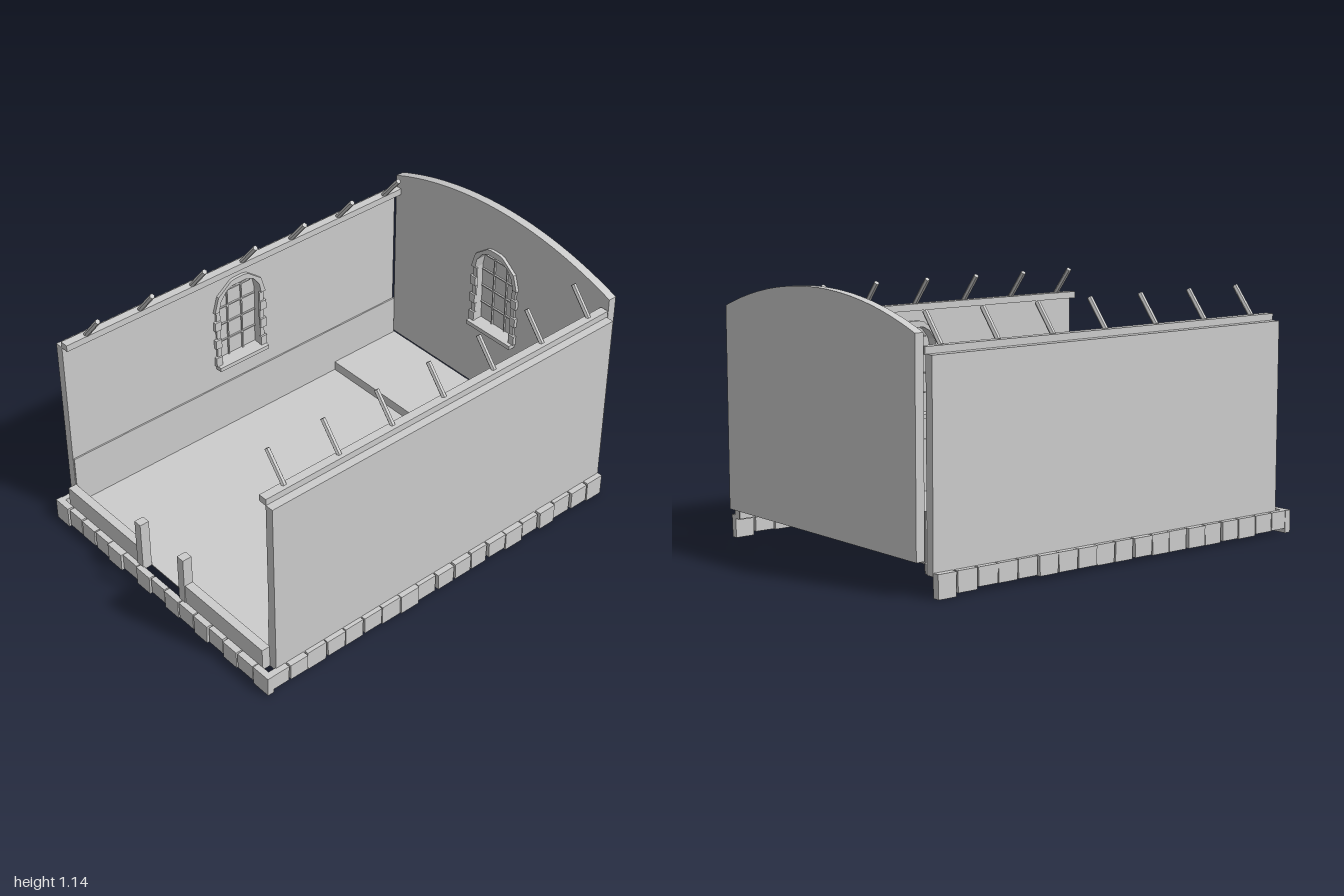
import * as THREE from 'three';

const stone = new THREE.MeshStandardMaterial({ color: 0xcccccc, side: THREE.DoubleSide });
stone.name = 'pale grey stone';

let seed = 7;
const rnd = () => (seed = (seed * 16807) % 2147483647) / 2147483647;

function add(parent, name, geo) {
  const mesh = new THREE.Mesh(geo, stone);
  mesh.name = name;
  parent.add(mesh);
  return mesh;
}

// Box given by its minimum and maximum on each axis
function box(parent, name, x0, x1, y0, y1, z0, z1) {
  const mesh = add(parent, name, new THREE.BoxGeometry(x1 - x0, y1 - y0, z1 - z0));
  mesh.position.set((x0 + x1) / 2, (y0 + y1) / 2, (z0 + z1) / 2);
  return mesh;
}

const mirrored = (half) => [...half, ...half.slice().reverse().map(([x, y]) => [-x, y])];
const toPath = (pts, dx = 0, dy = 0) => pts.map(([x, y]) => new THREE.Vector2(x + dx, y + dy));

// Window outlines, measured from the bottom of the sill
const archIn = mirrored([[0.12, 0.31], [0.11, 0.36], [0.078, 0.403], [0.045, 0.42]]);
const archOut = mirrored([[0.145, 0.31], [0.122, 0.388], [0.048, 0.445], [0.025, 0.45]]);
const opening = [[0.115, 0.02], ...archIn, [-0.115, 0.02]];

function extrude(shape, depth, z) {
  const geo = new THREE.ExtrudeGeometry(shape, { depth, bevelEnabled: false, curveSegments: 24 });
  return geo.translate(0, 0, z);
}

// Wall 0.04 thick with its inner face on local z = 0 and one arched window
function windowWall(name, shape, wx, wy) {
  const g = new THREE.Group();
  g.name = name;
  shape.holes.push(new THREE.Path(toPath(opening, wx, wy)));
  add(g, 'wallPanel', extrude(shape, 0.04, -0.04));

  const win = new THREE.Group();
  win.name = 'window';
  win.position.set(wx, wy, 0);
  g.add(win);
  add(win, 'windowPane', extrude(new THREE.Shape(toPath(opening)), 0.004, -0.04));
  box(win, 'windowSill', -0.14, 0.14, 0, 0.02, -0.01, 0.035);

  // Arched surround
  const arch = new THREE.Shape(toPath([...archOut, ...archIn.slice().reverse()]));
  add(win, 'windowArch', extrude(arch, 0.015, 0));

  // Alternating jamb stones
  for (const s of [-1, 1]) {
    for (let i = 0; i < 6; i++) {
      const wide = i % 2 === 0;
      const w = wide ? 0.033 : 0.022;
      const m = box(win, 'jambStone', -w / 2, w / 2, 0.02 + i * 0.0483, 0.066 + i * 0.0483, 0, wide ? 0.016 : 0.01);
      m.position.x = s * (0.113 + w / 2);
    }
  }

  // Glazing bars
  for (const x of [-0.04, 0.04]) box(win, 'glazingBar', x - 0.003, x + 0.003, 0.02, 0.418, -0.036, -0.028);
  for (const y of [0.11, 0.2, 0.29]) box(win, 'glazingBar', -0.115, 0.115, y - 0.003, y + 0.003, -0.036, -0.028);
  box(win, 'glazingBar', -0.092, 0.092, 0.369, 0.375, -0.036, -0.028);
  return g;
}

// Row of uneven foundation stones; place(stone, distance along the row) positions each
function stoneRow(parent, from, to, count, place) {
  const step = (to - from) / count;
  for (let i = 0; i < count; i++) {
    const bottom = i === 0 ? 0 : 0.008 + rnd() * 0.018;
    const w = step * (0.88 + rnd() * 0.1);
    const depth = 0.022 + rnd() * 0.012;
    const geo = new THREE.BoxGeometry(w, 0.1 - bottom, depth);
    geo.translate(0, (0.1 + bottom) / 2, depth / 2);
    // taper the lower corners a little
    const p = geo.attributes.position;
    const k = 0.92 + rnd() * 0.08;
    for (let v = 0; v < p.count; v++) if (p.getY(v) < 0.05) p.setX(v, p.getX(v) * k);
    geo.computeVertexNormals();
    place(add(parent, 'foundationStone', geo), from + step * (i + 0.5));
  }
}

export function createModel() {
  const model = new THREE.Group();
  model.name = 'openChapel';

  // Floor, raised platform and its riser
  box(model, 'floor', -0.67, 0.67, 0.085, 0.09, -0.575, 0.928);
  box(model, 'platform', -0.67, 0.67, 0.13, 0.135, -0.96, -0.575);
  box(model, 'platformRiser', -0.67, 0.67, 0.085, 0.135, -0.58, -0.575);

  // Back wall with a curved top
  const back = new THREE.Shape();
  back.moveTo(-0.67, 0.14);
  back.lineTo(0.67, 0.14);
  back.lineTo(0.67, 1.02);
  const rise = 0.125;
  const r = (0.67 * 0.67 + rise * rise) / (2 * rise);
  const a = Math.asin(0.67 / r);
  back.absarc(0, 1.145 - r, r, Math.PI / 2 - a, Math.PI / 2 + a, false);
  back.closePath();
  const backWall = windowWall('backWall', back, 0, 0.48);
  backWall.position.z = -0.96;
  model.add(backWall);

  for (const s of [-1, 1]) {
    // Side wall
    const lo = s > 0 ? -0.95 : -0.93;
    const hi = s > 0 ? 0.93 : 0.95;
    const shape = new THREE.Shape(toPath([[lo, 0.085], [hi, 0.085], [hi, 0.937], [lo, 0.937]]));
    const wall = windowWall(s > 0 ? 'leftWall' : 'rightWall', shape, s * -0.01, 0.435);
    wall.rotation.y = -s * Math.PI / 2;
    wall.position.x = s * 0.67;
    model.add(wall);

    // Wainscot and top beam
    const side = new THREE.Group();
    side.name = s > 0 ? 'leftTrim' : 'rightTrim';
    model.add(side);
    box(side, 'wainscot', -0.004, 0.004, 0.09, 0.335, -0.955, 0.928).position.x = s * 0.667;
    box(side, 'topBeam', -0.02, 0.02, 0.935, 0.966, -0.955, 0.93).position.x = s * 0.652;

    // Rafter stubs leaning inward
    const foot = new THREE.Vector3(s * 0.648, 0.962, 0);
    const tip = new THREE.Vector3(s * 0.549, 1.084, 0);
    const dir = tip.clone().sub(foot);
    for (let i = 0; i < 7; i++) {
      const rafter = add(side, 'rafter', new THREE.CylinderGeometry(0.012, 0.012, dir.length(), 6).toNonIndexed());
      rafter.geometry.computeVertexNormals();
      rafter.position.copy(foot).add(tip).multiplyScalar(0.5);
      rafter.position.z = 0.82 - i * 0.28;
      rafter.quaternion.setFromUnitVectors(new THREE.Vector3(0, 1, 0), dir.clone().normalize());
    }

    // Low front wall and doorway post
    const x0 = s > 0 ? 0.165 : -0.67;
    box(model, 'lowFrontWall', x0, x0 + 0.505, 0.085, 0.192, 0.928, 0.968);
    box(model, 'doorPost', -0.02, 0.02, 0.085, 0.332, 0.927, 0.972).position.x = s * 0.146;

    // Side foundation stones
    stoneRow(model, -0.955, 0.985, 19, (m, d) => {
      m.rotation.y = s * Math.PI / 2;
      m.position.set(s * 0.706, 0, d);
    });
  }

  // Front foundation stones
  stoneRow(model, -0.74, 0.74, 15, (m, d) => m.position.set(d, 0, 0.967));
  return model;
}
